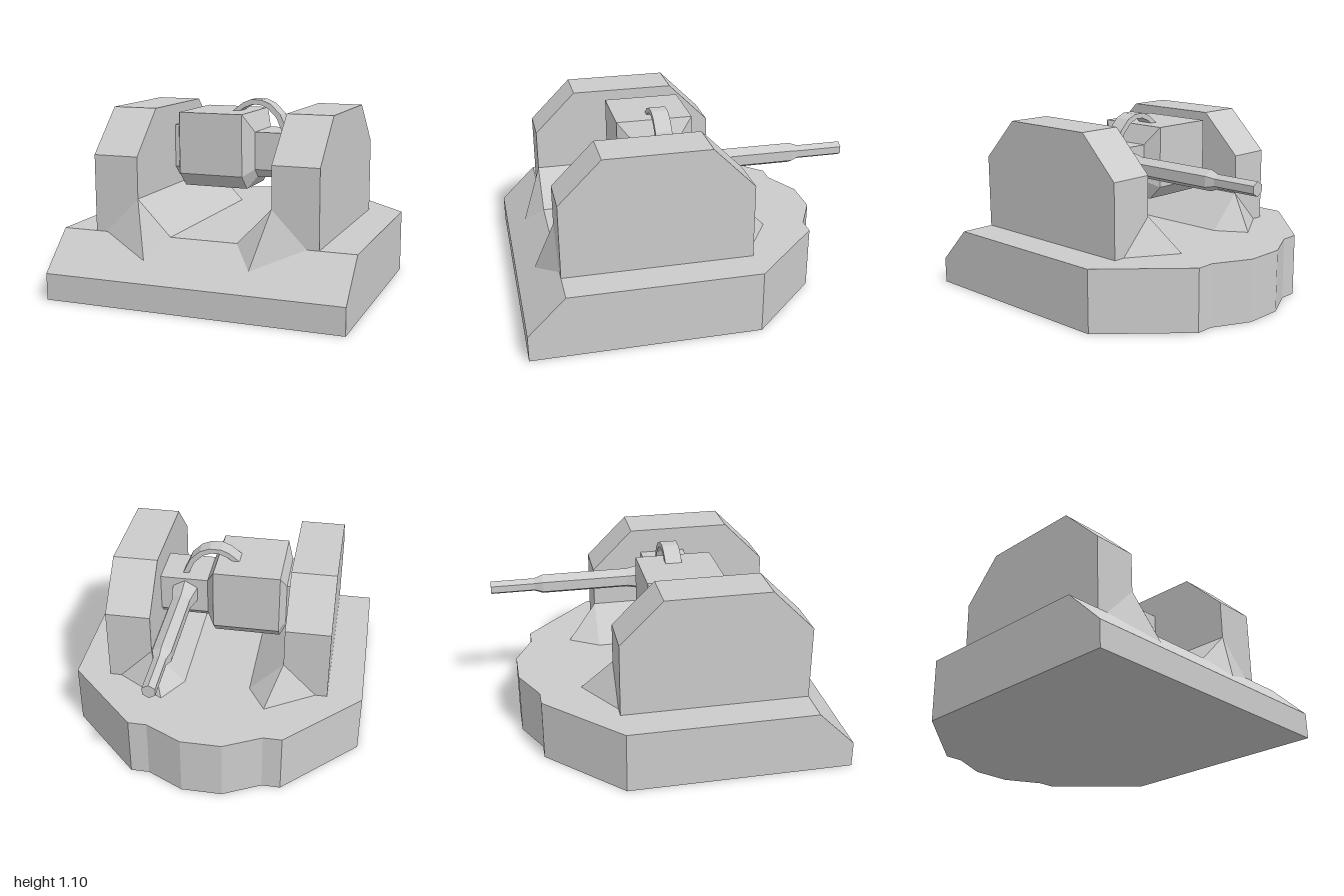
import * as THREE from 'three';
import { ConvexGeometry } from 'three/addons/geometries/ConvexGeometry.js';

const material = new THREE.MeshStandardMaterial({ color: 0xcccccc, flatShading: true });

function add(group, name, geometry) {
  const mesh = new THREE.Mesh(geometry, material);
  mesh.name = name;
  group.add(mesh);
  return mesh;
}

const shapeOf = (points) => new THREE.Shape(points.map(([a, b]) => new THREE.Vector2(a, b)));

// Prism along x from a [z, y] profile
function prismX(profile, x0, x1) {
  const geometry = new THREE.ExtrudeGeometry(shapeOf(profile.map(([z, y]) => [-z, y])),
    { depth: x1 - x0, bevelEnabled: false });
  return geometry.rotateY(Math.PI / 2).translate(x0, 0, 0);
}

// Box section in [z, y] with both lower corners cut off
function section(z0, z1, y0, y1, cut) {
  return [[z0, y1], [z0, y0 + cut], [z0 + cut, y0], [z1 - cut, y0], [z1, y0 + cut], [z1, y1]];
}

// Base plate: faceted rear, front edge sloping back above a low vertical lip
function baseGeometry() {
  const half = [[0.88, 1], [0.88, -0.34], [0.45, -0.77], [0.34, -0.77], [0.12, -0.88]];
  const outline = [...half, ...half.map(([x, z]) => [-x, z]).reverse()];
  const height = 0.375;
  const geometry = new THREE.ExtrudeGeometry(shapeOf(outline.map(([x, z]) => [x, -z])),
    { depth: height, steps: 2, bevelEnabled: false });
  geometry.rotateX(-Math.PI / 2);
  const p = geometry.attributes.position;
  for (let i = 0; i < p.count; i++) {
    const y = p.getY(i);
    if (y > 0.1 && y < 0.3) p.setY(i, 0.155);
    if (y > 0.3 && p.getZ(i) > 0.9) p.setZ(i, 0.78);
  }
  geometry.computeVertexNormals();
  return geometry;
}

export function createModel() {
  const model = new THREE.Group();
  model.name = 'gunTurret';

  add(model, 'base', baseGeometry());

  // Side towers and the sloped buttresses at their feet
  const towerProfile = [[0.78, 0.3], [0.78, 0.82], [0.53, 1.07], [-0.09, 1.07], [-0.34, 0.82], [-0.34, 0.3]];
  for (const [side, s] of [['left', 1], ['right', -1]]) {
    add(model, side + 'Tower', prismX(towerProfile, s > 0 ? 0.4 : -0.67, s > 0 ? 0.67 : -0.4));
    const corners = [[0.31, 0.25, 0.9], [0.31, 0.375, -0.52]];
    for (const z of [0.78, -0.34]) corners.push([0.4, 0.58, z], [0.2, 0.375, z], [0.6, 0.375, z]);
    add(model, side + 'Buttress',
      new ConvexGeometry(corners.map(([x, y, z]) => new THREE.Vector3(s * x, y, z))));
  }

  // Gun housing with tapered ends
  const stations = [
    [-0.375, section(-0.05, 0.27, 0.63, 0.945, 0.06)],
    [-0.34, section(-0.12, 0.34, 0.575, 1.03, 0.085)],
    [0.06, section(-0.12, 0.34, 0.575, 1.03, 0.085)],
    [0.11, section(-0.03, 0.25, 0.645, 0.92, 0.05)],
  ];
  add(model, 'housing', new ConvexGeometry(
    stations.flatMap(([x, ring]) => ring.map(([z, y]) => new THREE.Vector3(x, y, z)))));

  // Trunnions joining the housing to the towers
  add(model, 'rightTrunnion', prismX(stations[0][1], -0.41, -0.37));
  add(model, 'leftTrunnion', prismX(stations[3][1], 0.1, 0.41));

  // Six-sided barrel pointing to the rear
  const barrelProfile = [[0, 0], [0.09, 0.02], [0.062, 0.15], [0.062, 0.68], [0.042, 0.73], [0.042, 1], [0, 1]];
  const barrel = add(model, 'barrel', new THREE.LatheGeometry(
    barrelProfile.map(([r, y]) => new THREE.Vector2(r, y)), 6));
  barrel.rotation.x = -Math.PI / 2;
  barrel.position.set(0.25, 0.818, 0);

  // Curved feed strip from housing to breech
  const feed = [
    [-0.08, 1.025], [-0.01, 1.08], [0.04, 1.1], [0.11, 1.1], [0.17, 1.075], [0.23, 1.015], [0.275, 0.915],
    [0.24, 0.915], [0.205, 0.995], [0.15, 1.05], [0.1, 1.07], [0.05, 1.07], [0, 1.05], [-0.035, 1.025],
  ];
  add(model, 'feedStrip', new THREE.ExtrudeGeometry(shapeOf(feed), { depth: 0.1, bevelEnabled: false })
    .translate(0, 0, 0.04));

  return model;
}
